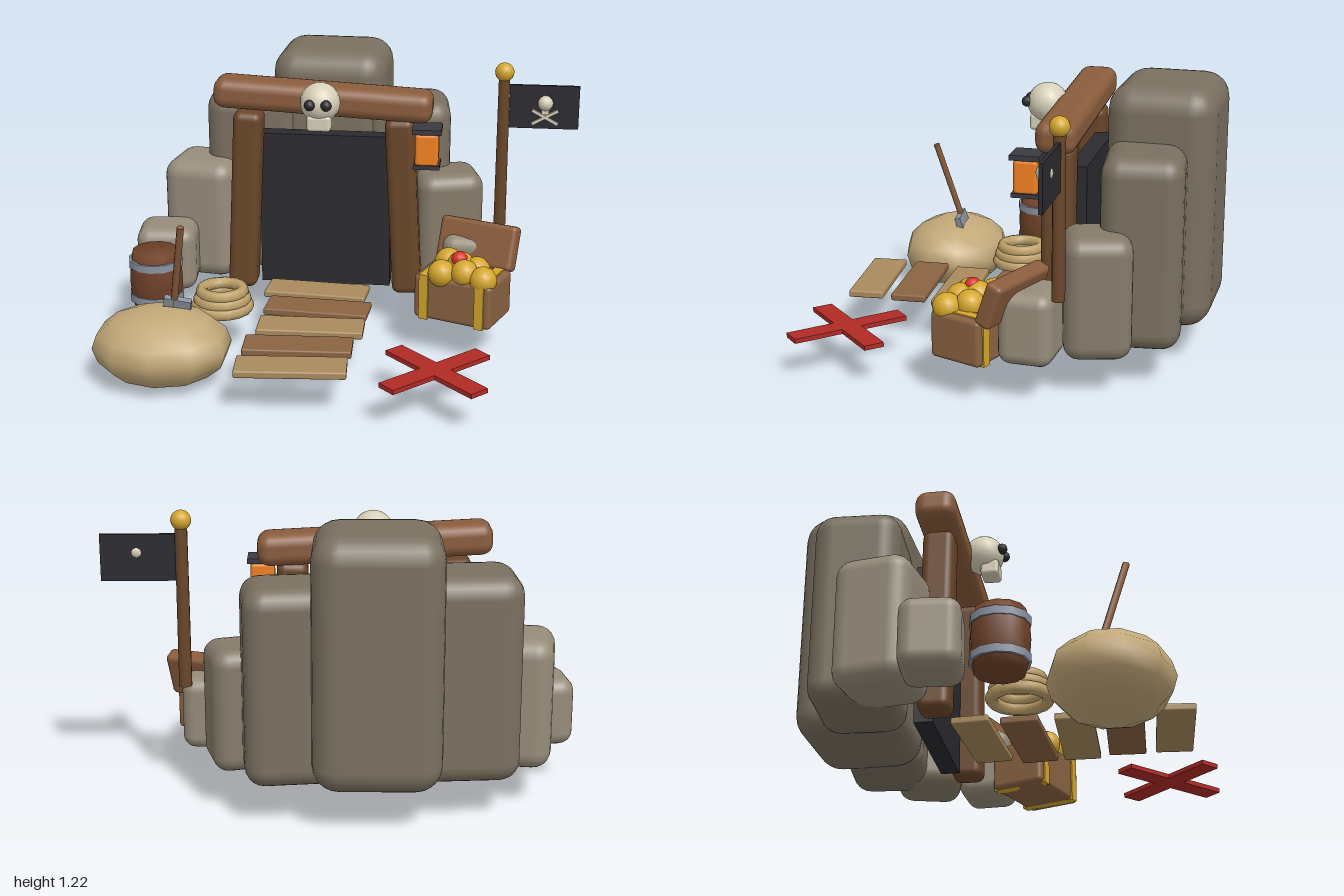
import * as THREE from 'three';
import { RoundedBoxGeometry } from 'three/addons/geometries/RoundedBoxGeometry.js';

const GROUND = 0.17;
const C = {
  rockDark: 0x7a7060, rockMid: 0x857b6a, rockLight: 0x968c7a, beam: 0x8a5c3c, post: 0x6a4629,
  plankLight: 0xa98a5c, plankDark: 0x8a6342, black: 0x2b2a2f, iron: 0x3a3b42, steel: 0x8b93a0,
  bone: 0xd6cfb8, gold: 0xd4a62c, red: 0xb02a25, gem: 0xd8322a, orange: 0xf08020,
  sand: 0xc2a878, rope: 0xbfa26a, barrel: 0x6e4128,
};

function createModel() {
  const model = new THREE.Group();
  model.name = 'treasureCave';
  const materials = {};
  const mat = (color) => (materials[color] ??= new THREE.MeshStandardMaterial({ color }));

  function add(parent, name, geometry, color, pos = [0, 0, 0], rot = [0, 0, 0]) {
    const mesh = new THREE.Mesh(geometry, mat(color));
    mesh.name = name;
    mesh.position.set(...pos);
    mesh.rotation.set(...rot);
    parent.add(mesh);
    return mesh;
  }
  function group(name, pos = [0, 0, 0], rot = [0, 0, 0]) {
    const g = new THREE.Group();
    g.name = name;
    g.position.set(...pos);
    g.rotation.set(...rot);
    model.add(g);
    return g;
  }
  const box = (w, h, d) => new THREE.BoxGeometry(w, h, d);
  const round = (w, h, d, r) => new RoundedBoxGeometry(w, h, d, 3, r);
  const ball = (r, a = 16, b = 12) => new THREE.SphereGeometry(r, a, b);

  // Rock wall: x, z, width, top, depth, turn, colour
  const rocks = group('rocks');
  [
    [-0.12, -0.63, 0.52, 1.215, 0.46, -0.03, C.rockDark],
    [-0.48, -0.55, 0.42, 1.025, 0.36, 0.05, C.rockDark],
    [0.22, -0.585, 0.4, 0.99, 0.34, 0.1, C.rockDark],
    [-0.69, -0.41, 0.33, 0.725, 0.32, -0.16, C.rockLight],
    [0.42, -0.43, 0.3, 0.69, 0.28, 0.26, C.rockMid],
    [-0.832, -0.18, 0.265, 0.465, 0.245, 0.1, C.rockLight],
    [0.555, -0.19, 0.26, 0.48, 0.23, -0.06, C.rockLight],
  ].forEach(([x, z, w, top, d, turn, color]) => {
    const h = top - GROUND;
    add(rocks, 'rock', round(w, h, d, Math.min(w, d) * 0.24), color, [x, GROUND + h / 2, z], [0, turn, 0]);
  });

  // Entrance: dark opening, two leaning posts and a sloping beam
  const entrance = group('entrance');
  add(entrance, 'darkOpening', box(0.59, 0.71, 0.08), C.black, [-0.12, 0.525, -0.295]);
  add(entrance, 'leftPost', round(0.13, 0.82, 0.135, 0.035), C.post, [0.237, 0.575, -0.23], [0, 0, 0.052]);
  add(entrance, 'rightPost', round(0.13, 0.83, 0.135, 0.035), C.post, [-0.475, 0.58, -0.23], [0, 0, -0.048]);
  add(entrance, 'beam', round(0.97, 0.135, 0.172, 0.05), C.beam, [-0.122, 1.058, -0.233], [0, 0, -0.05]);

  // Skull hung on the beam
  const skull = group('skull', [-0.12, 1.075, -0.1]);
  add(skull, 'cranium', ball(0.088), C.bone);
  add(skull, 'jaw', round(0.105, 0.07, 0.08, 0.015), C.bone, [0, -0.08, 0.03]);
  for (const s of [-1, 1]) add(skull, 'eye', ball(0.024, 10, 8), C.black, [s * 0.036, 0.008, 0.084]);

  // Lantern
  const lantern = group('lantern', [0.345, 0.88, -0.122]);
  add(lantern, 'lanternGlass', round(0.102, 0.145, 0.102, 0.015), C.orange);
  add(lantern, 'lanternCap', box(0.126, 0.022, 0.126), C.iron, [0, 0.085, 0]);
  add(lantern, 'lanternBase', box(0.115, 0.018, 0.115), C.iron, [0, -0.075, 0]);

  // Flag on its pole
  const flag = group('flag', [0.667, 0, -0.325]);
  add(flag, 'pole', new THREE.CylinderGeometry(0.026, 0.028, 0.68, 10), C.post, [0, 0.81, 0]);
  add(flag, 'poleBall', ball(0.042), C.gold, [0, 1.175, 0]);
  add(flag, 'cloth', box(0.305, 0.195, 0.016), C.black, [0.178, 1.022, -0.003]);
  add(flag, 'flagSkull', ball(0.034, 12, 10), C.bone, [0.183, 1.043, 0.016]);
  add(flag, 'flagJaw', box(0.034, 0.026, 0.024), C.bone, [0.183, 1.008, 0.018]);
  for (const s of [-1, 1]) add(flag, 'crossbone', box(0.13, 0.013, 0.013), C.bone, [0.183, 0.978, 0.012], [0, 0, s * 0.5]);

  // Barrel with two hoops
  const barrel = group('barrel', [-0.83, GROUND, 0.085]);
  const staves = [[0, 0], [0.1, 0], [0.114, 0.06], [0.119, 0.133], [0.114, 0.205], [0.1, 0.265], [0, 0.265]];
  add(barrel, 'barrelBody', new THREE.LatheGeometry(staves.map((p) => new THREE.Vector2(...p)), 12), C.barrel);
  for (const y of [0.055, 0.212]) add(barrel, 'hoop', new THREE.CylinderGeometry(0.12, 0.12, 0.034, 12), C.steel, [0, y, 0]);

  // Coiled rope
  const coil = group('ropeCoil', [-0.53, GROUND, 0.117]);
  [0.113, 0.102, 0.09].forEach((r, i) =>
    add(coil, 'ropeRing', new THREE.TorusGeometry(r, 0.027, 7, 16), C.rope, [0, 0.027 + i * 0.035, 0], [Math.PI / 2, 0, 0]));

  // Sand mound with a shovel stuck in it
  const mound = add(model, 'sandMound', ball(1, 10, 8), C.sand, [-0.717, 0.167, 0.492], [0, Math.PI / 2, 0]);
  mound.scale.set(0.25, 0.165, 0.297);
  const shovel = group('shovel', [-0.675, 0.3, 0.44], [0.27, 0, -0.16]);
  add(shovel, 'handle', new THREE.CylinderGeometry(0.015, 0.015, 0.41, 8), C.beam, [0, 0.235, 0]);
  add(shovel, 'blade', box(0.115, 0.13, 0.028), C.steel, [0.015, 0.005, 0]);

  // Plank path: x, z, turn
  const path = group('plankPath');
  [
    [-0.138, -0.1, -0.07], [-0.11, 0.097, -0.065], [-0.113, 0.3, 0.025], [-0.14, 0.5, 0.05], [-0.14, 0.703, 0.075],
  ].forEach(([x, z, turn], i) =>
    add(path, 'plank', round(0.455, 0.032, 0.157, 0.008), i % 2 ? C.plankDark : C.plankLight, [x, 0.192, z], [0, turn, 0]));

  // Red cross marking the spot
  const cross = group('markerCross', [0.44, 0.18, 0.645]);
  [1, -1].forEach((s) => add(cross, 'crossArm', box(0.52, 0.02, 0.088), C.red, [0, 0, 0], [0, s * Math.PI / 4, 0]));

  // Open chest
  const chest = group('chest', [0.52, GROUND, 0.035], [0, -0.37, 0]);
  add(chest, 'chestBody', round(0.36, 0.2, 0.245, 0.02), C.plankDark, [0, 0.1, 0]);
  add(chest, 'chestLid', round(0.36, 0.2, 0.075, 0.02), C.beam, [0, 0.277, -0.165], [-0.35, 0, 0]);
  for (const s of [-1, 1]) add(chest, 'strap', box(0.042, 0.206, 0.258), C.gold, [s * 0.13, 0.103, 0]);

  // Treasure heaped in the chest
  const treasure = group('treasure');
  [
    [0.455, 0.4, -0.01], [0.43, 0.385, 0.1], [0.53, 0.395, 0.115], [0.61, 0.38, 0.15], [0.58, 0.39, 0.06], [0.51, 0.405, 0.045],
  ].forEach((p) => add(treasure, 'goldBall', ball(0.06, 14, 10), C.gold, p));
  add(treasure, 'gem', ball(0.036, 12, 10), C.gem, [0.505, 0.44, 0.068]);

  return model;
}

export { createModel };
